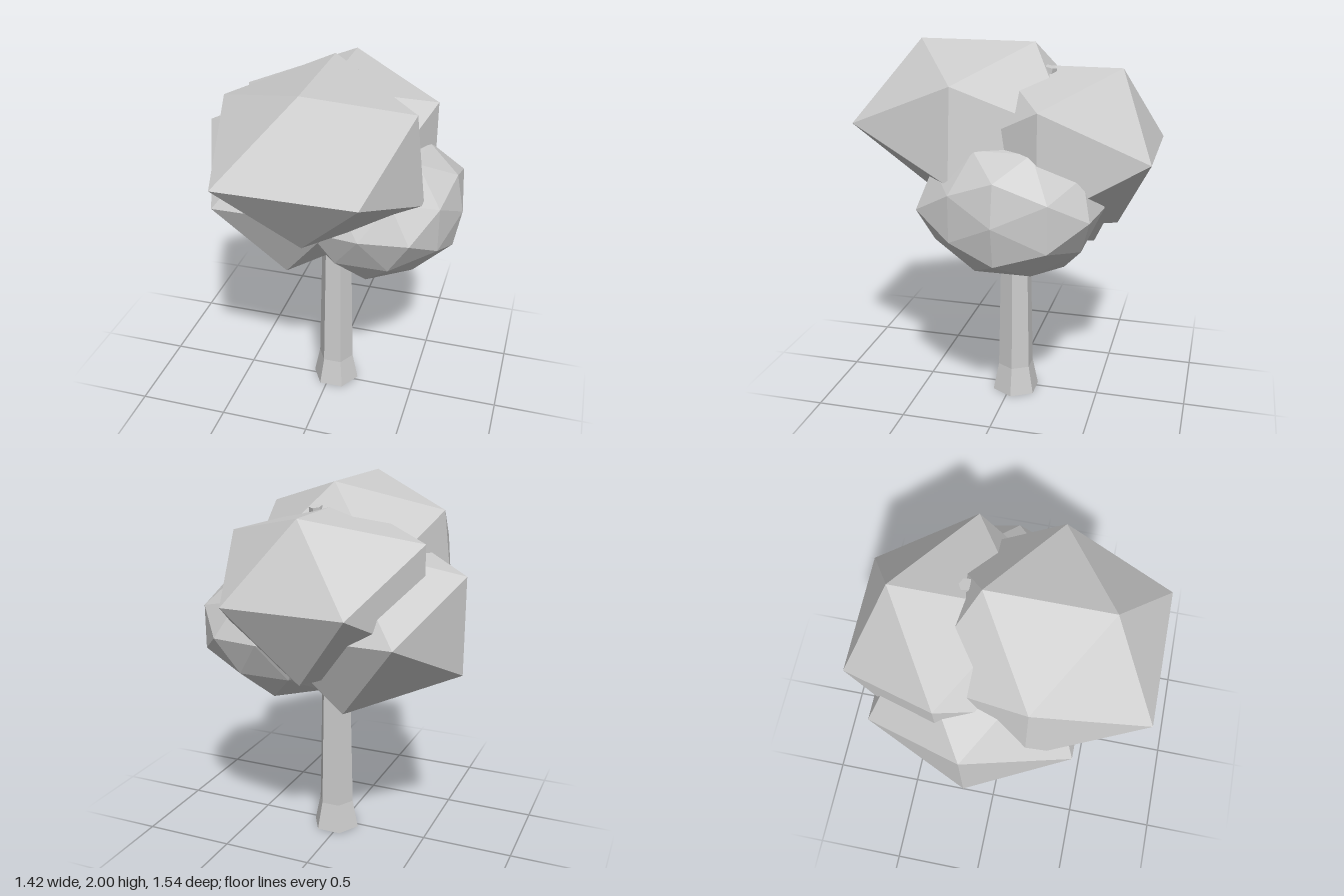
import * as THREE from 'three';

export function createModel() {
  const tree = new THREE.Group();
  tree.name = 'tree';
  const grey = new THREE.MeshStandardMaterial({ color: 0xcccccc });
  grey.name = 'pale grey';

  function add(name, geometry) {
    let g = geometry.index ? geometry.toNonIndexed() : geometry;
    g.computeVertexNormals(); // one normal per face: faceted look
    const mesh = new THREE.Mesh(g, grey);
    mesh.name = name;
    tree.add(mesh);
    return mesh;
  }

  // Move each vertex of a unit icosahedron by a rule
  function reshape(detail, rule) {
    const g = new THREE.IcosahedronGeometry(1, detail).rotateY(Math.PI / 2);
    const p = g.attributes.position;
    const v = new THREE.Vector3();
    for (let i = 0; i < p.count; i++) {
      rule(v.fromBufferAttribute(p, i));
      p.setXYZ(i, v.x, v.y, v.z);
    }
    return g;
  }

  // Large 20-sided crowns: front/back, top/bottom and side corners sized apart
  function crown(name, centre, front, top, side, upperNarrowing = 1) {
    const g = reshape(0, (v) => {
      const sx = Math.sign(v.x), sy = Math.sign(v.y), sz = Math.sign(v.z);
      if (Math.abs(v.y) < 0.1) v.set(sx * front[0], 0, sz * front[1]);
      else if (Math.abs(v.x) < 0.1) v.set(0, sy * top[0], sz * top[1]);
      else v.set(sx * side[0] * (sy > 0 ? upperNarrowing : 1), sy * side[1], 0);
    });
    add(name, g).position.set(...centre);
  }
  crown('frontCrown', [-0.005, 1.6, 0.19], [0.355, 0.575], [0.4, 0.31], [0.55, 0.24], 0.9);
  crown('backCrown', [-0.01, 1.465, -0.25], [0.32, 0.525], [0.415, 0.33], [0.53, 0.275]);
  crown('rightCrown', [-0.18, 1.305, -0.1], [0.33, 0.525], [0.435, 0.33], [0.53, 0.26]);

  // Smaller, finer crown, slightly flattened above and below
  const leftCrown = reshape(1, (v) => {
    const big = Math.max(Math.abs(v.x), Math.abs(v.y), Math.abs(v.z));
    const corner = big > 0.83 && big < 0.9;
    const backBulge = v.x > 0.7 && v.z < -0.4 ? 1.12 : 1;
    if (corner) v.multiply(new THREE.Vector3(0.488, 0.4, 0.52));
    else v.multiply(new THREE.Vector3(0.455, 0.39, 0.475));
    v.x *= backBulge;
    v.z *= backBulge;
    v.y = THREE.MathUtils.clamp(v.y, -0.345, 0.355);
  });
  add('leftCrown', leftCrown).position.set(0.255, 1.215, -0.07);

  // Six-sided trunk with a flared foot
  function trunkPart(name, r0, r1, y0, y1) {
    const g = new THREE.CylinderGeometry(r1, r0, y1 - y0, 6, 1);
    g.rotateY(Math.PI / 6);
    add(name, g).position.set(0.03, (y0 + y1) / 2, -0.027);
  }
  trunkPart('trunkFoot', 0.135, 0.102, 0, 0.16);
  trunkPart('trunk', 0.102, 0.08, 0.16, 1.1);

  // Branches
  function branch(name, from, to, r0, r1) {
    const a = new THREE.Vector3(...from), b = new THREE.Vector3(...to);
    const dir = b.clone().sub(a);
    const m = add(name, new THREE.CylinderGeometry(r1, r0, dir.length(), 6, 1));
    m.position.copy(a).lerp(b, 0.5);
    m.quaternion.setFromUnitVectors(new THREE.Vector3(0, 1, 0), dir.normalize());
  }
  branch('upperBranch', [0.03, 1.05, -0.03], [0.06, 1.885, -0.215], 0.08, 0.035);
  branch('sideBranch', [0.02, 0.86, 0], [-0.3, 1.12, 0], 0.03, 0.02);

  return tree;
}
